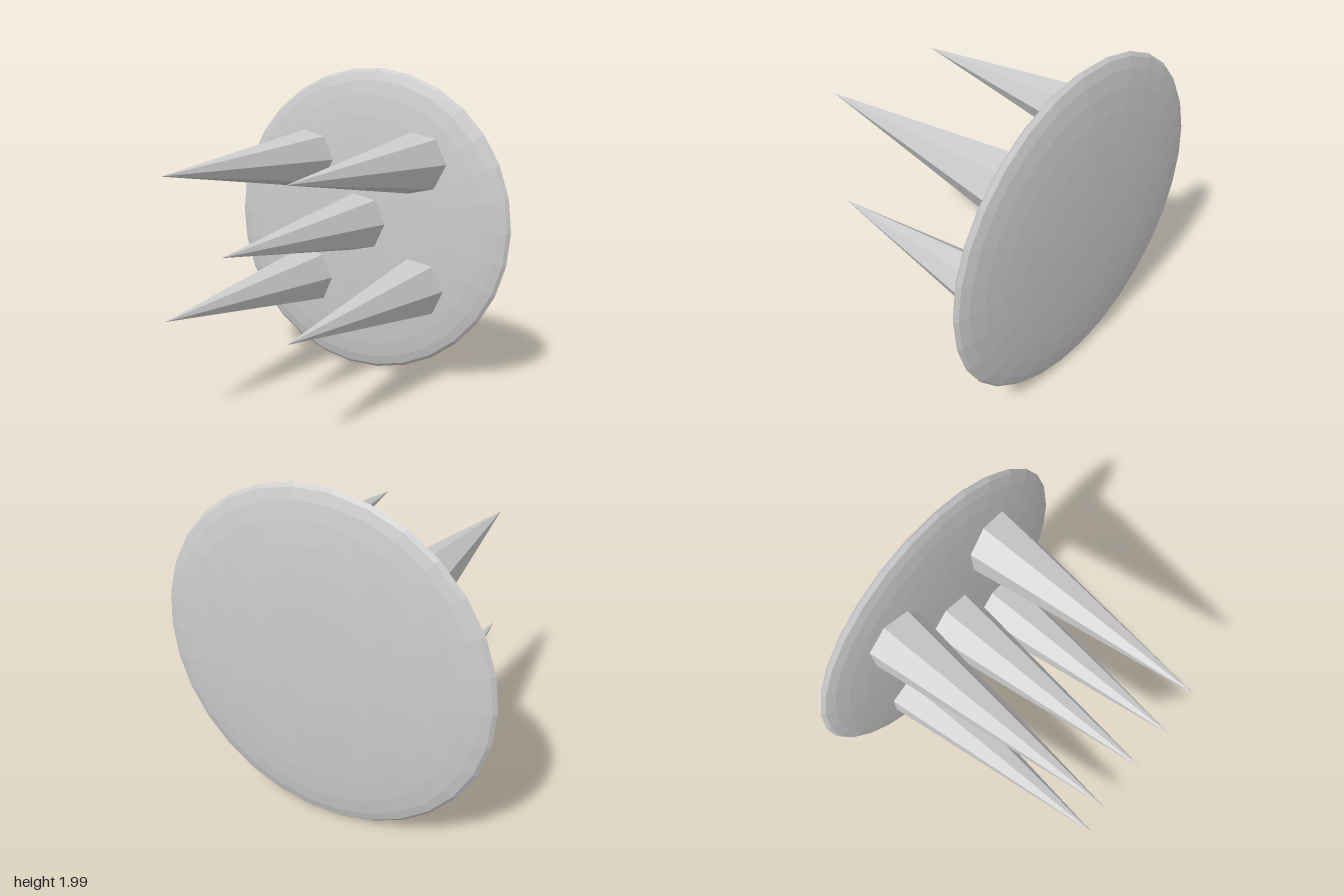
import * as THREE from 'three';

export function createModel() {
  const group = new THREE.Group();
  group.name = 'spikedDisc';
  const material = new THREE.MeshStandardMaterial({ color: 0xcccccc, flatShading: true });

  // Backing disc: a flattened sphere with its poles along z
  const discGeometry = new THREE.SphereGeometry(1, 30, 16);
  discGeometry.rotateX(Math.PI / 2);
  discGeometry.scale(1, 1, 0.1);
  const disc = new THREE.Mesh(discGeometry, material);
  disc.name = 'disc';
  disc.position.set(0, 1, -0.725);
  group.add(disc);

  // Five seven-sided spikes pointing forward, base sunk into the disc
  const spikeLength = 1.5;
  const spikeGeometry = new THREE.ConeGeometry(0.2, spikeLength, 7, 1, false, Math.PI / 2);
  spikeGeometry.rotateX(Math.PI / 2);
  const spikes = [
    ['centreSpike', 0, 0],
    ['upperLeftSpike', 0.4, 0.4],
    ['upperRightSpike', -0.4, 0.4],
    ['lowerLeftSpike', 0.4, -0.4],
    ['lowerRightSpike', -0.4, -0.4],
  ];
  for (const [name, x, y] of spikes) {
    const spike = new THREE.Mesh(spikeGeometry, material);
    spike.name = name;
    spike.position.set(x, 1 + y, -0.675 + spikeLength / 2);
    group.add(spike);
  }
  return group;
}
